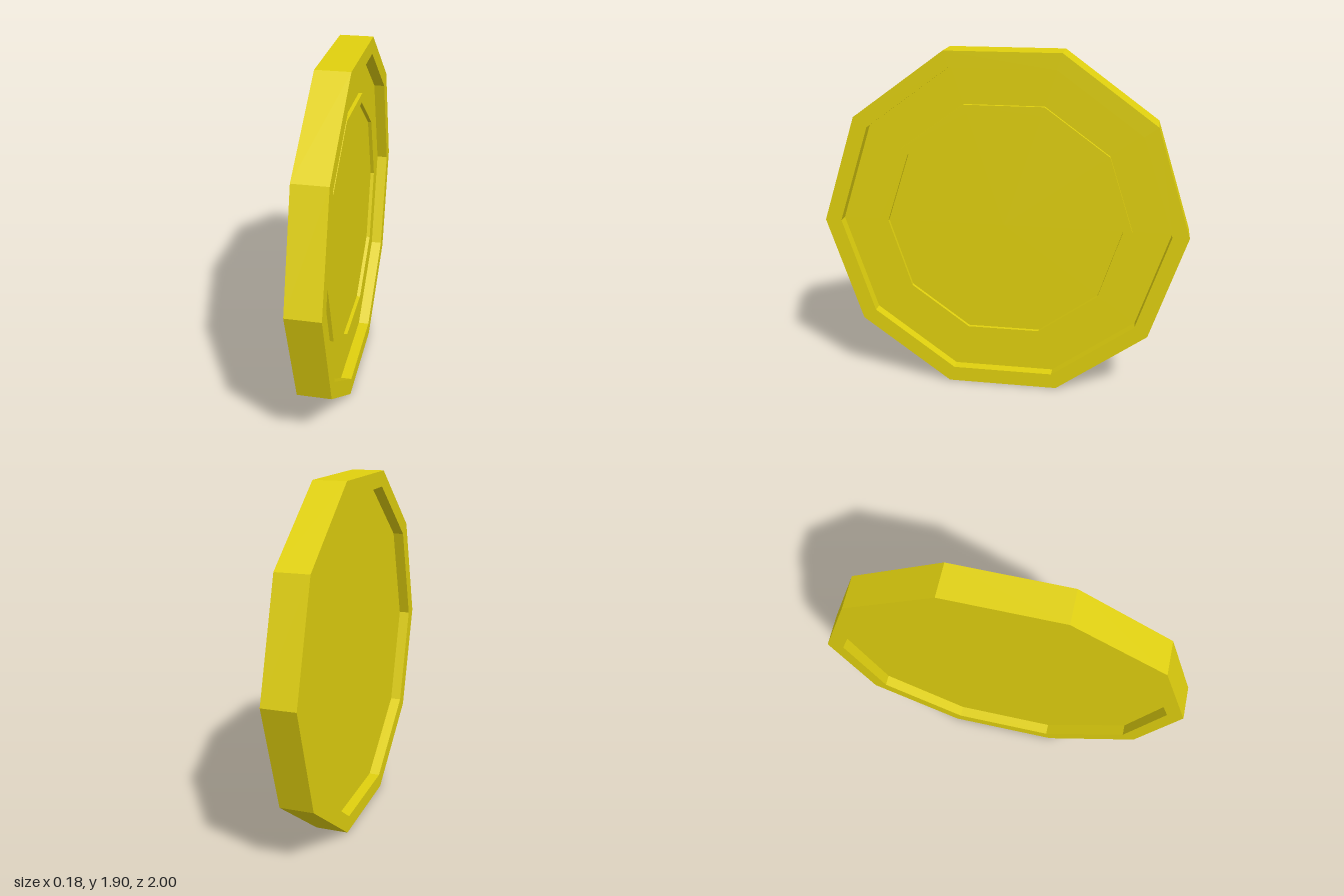
import * as THREE from 'three';

const SIDES = 10;
const CENTRE_Y = Math.cos(Math.PI / SIDES); // distance from centre to a flat side

// Ten-sided turned part whose axis lies along x; profile is [radius, x]
function turned(name, profile, material) {
  const points = profile.map(([r, x]) => new THREE.Vector2(r, x));
  const geometry = new THREE.LatheGeometry(points, SIDES).toNonIndexed();
  geometry.computeVertexNormals();
  geometry.rotateZ(-Math.PI / 2);
  const mesh = new THREE.Mesh(geometry, material);
  mesh.name = name;
  mesh.position.y = CENTRE_Y;
  return mesh;
}

export function createModel() {
  const gold = new THREE.MeshStandardMaterial({ color: 0xe0d00e, flatShading: true });
  const coin = new THREE.Group();
  coin.name = 'coin';

  // Disc with a raised rim around a sunken face on both sides
  coin.add(turned('coinBody', [
    [0, -0.03], [0.91, -0.03], [0.91, -0.09], [1, -0.09],
    [1, 0.09], [0.91, 0.09], [0.91, 0.03], [0, 0.03],
  ], gold));

  // Thin raised ring on the +x face only
  coin.add(turned('raisedRing', [
    [0.7, 0.03], [0.7, 0.05], [0.65, 0.05], [0.65, 0.03],
  ], gold));

  return coin;
}
